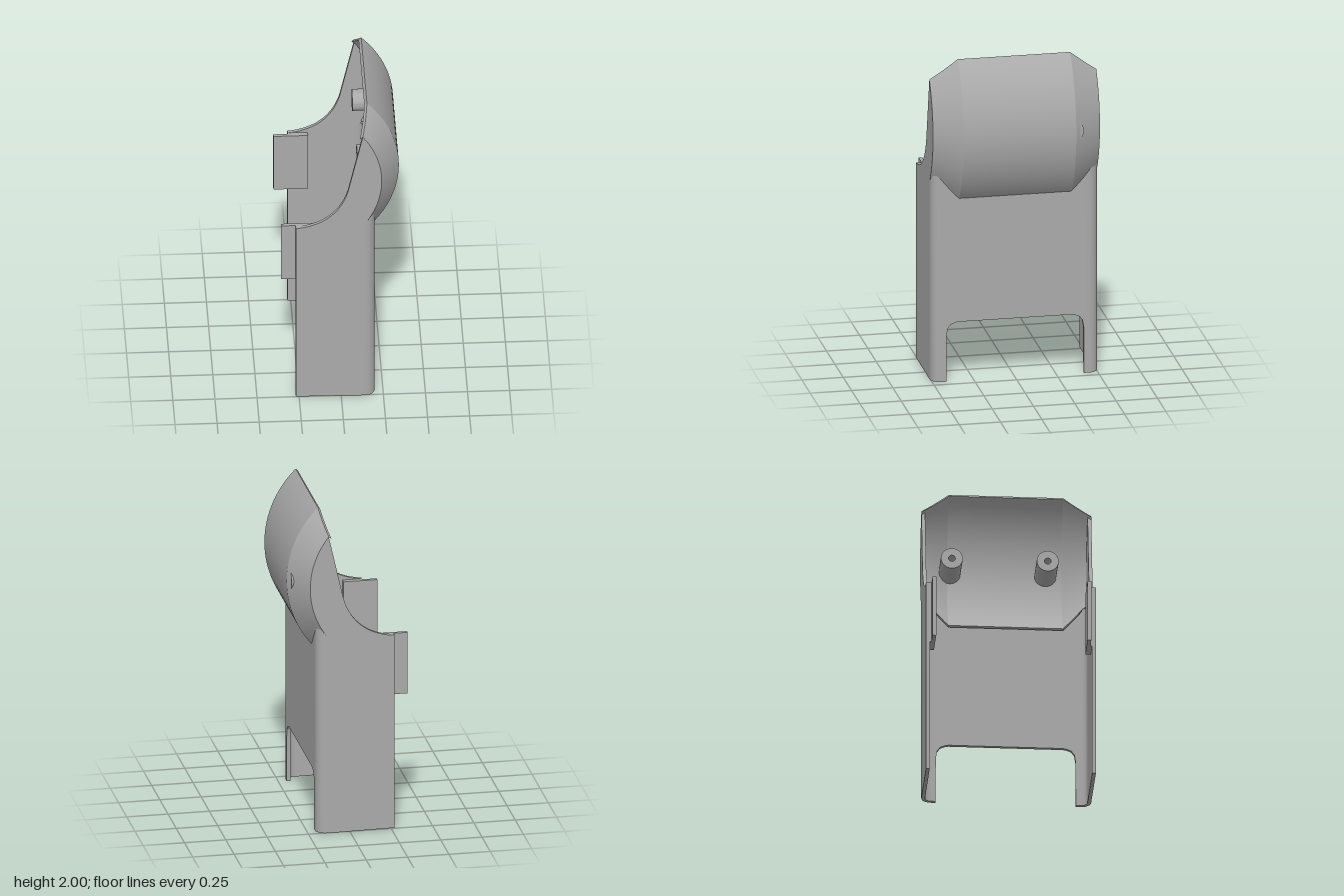
import * as THREE from 'three';
import { toCreasedNormals } from 'three/addons/utils/BufferGeometryUtils.js';

const T = 0.022;                 // wall thickness
const CX = -0.28, CY = 1.55;     // axis of the rounded hood
const HALF = 0.505;              // half width
const CORNER = 0.06;             // radius of the upright corners
const FRONT = 0.2;               // x of the flat panel

// Hood radius: full in the middle, tapering to the sides
const hoodRadius = z => 0.63 - 0.11 * Math.max(0, Math.abs(z) - 0.34) / 0.165;

// Columns across the width: outer x/z, inner x/z and height of the lower edge
function makeColumns() {
  const half = [[0, 0.37], [0.34, 0.37], [0.36, 0.367], [0.39, 0.355], [0.408, 0.33], [0.416, 0.28], [0.42, 0]]
    .map(([z, bottom]) => ({ x: FRONT, z, ix: FRONT - T, iz: z, bottom }));
  half[6].z = half[6].iz = 0.4165;
  for (let i = 0; i <= 6; i++) {
    const a = i / 6 * Math.PI / 2, r = CORNER - T;
    const x = FRONT - CORNER, z = HALF - CORNER;
    half.push({
      x: x + CORNER * Math.cos(a), z: z + CORNER * Math.sin(a),
      ix: x + r * Math.cos(a), iz: z + r * Math.sin(a), bottom: 0,
    });
  }
  const mirrored = half.slice(1).reverse().map(c => ({ ...c, z: -c.z, iz: -c.iz }));
  return [...mirrored, ...half].map(c => {
    const R = hoodRadius(c.z);
    const start = -Math.acos((c.x - CX) / R);
    const end = THREE.MathUtils.degToRad(38.3 + 7.3 * (R - 0.52) / 0.11);
    return { ...c, R, start, end, top: CY + R * Math.sin(start) };
  });
}

// Skin a row of closed cross-section loops
function skin(loops) {
  const n = loops[0].length, index = [];
  for (let u = 0; u < loops.length - 1; u++) {
    for (let k = 0; k < n; k++) {
      const a = u * n + k, b = u * n + (k + 1) % n;
      index.push(a, b, b + n, a, b + n, a + n);
    }
  }
  const g = new THREE.BufferGeometry();
  g.setAttribute('position', new THREE.Float32BufferAttribute(loops.flat(2), 3));
  g.setIndex(index);
  return toCreasedNormals(g, 0.42);
}

export function createModel() {
  const group = new THREE.Group();
  group.name = 'housing';
  const grey = new THREE.MeshStandardMaterial({ color: 0xaaaaaa });
  grey.name = 'grey plastic';
  const add = (name, geometry) => {
    const mesh = new THREE.Mesh(geometry, grey);
    mesh.name = name;
    group.add(mesh);
    return mesh;
  };
  const columns = makeColumns();

  // Flat panel with rounded upright corners and a cut-out between the legs
  add('frontPanel', skin(columns.map(c => [
    [c.x, c.bottom, c.z], [c.x, c.top, c.z], [c.ix, c.top, c.iz], [c.ix, c.bottom, c.iz],
  ])));

  // Curved hood with tapered ends
  const ROWS = 28;
  add('hood', skin(columns.map(c => {
    const arc = r => Array.from({ length: ROWS + 1 }, (_, i) => {
      const a = c.start + (c.end - c.start) * i / ROWS;
      return [CX + r * Math.cos(a), CY + r * Math.sin(a), c.z];
    });
    return [...arc(c.R), ...arc(c.R - T).reverse()];
  })));

  // Side walls, with a rounded upper lobe and a concave rear edge
  const edge = columns[columns.length - 1];
  const wall = new THREE.Shape();
  wall.moveTo(-0.27, 0.005);
  wall.lineTo(FRONT - CORNER, 0);
  wall.lineTo(edge.x, edge.top);
  wall.absarc(CX, CY, edge.R, edge.start, edge.end, false);
  wall.lineTo(0.04, 1.48);
  wall.bezierCurveTo(0.0, 1.34, -0.09, 1.24, -0.27, 1.222);
  wall.closePath();
  const wallGeometry = toCreasedNormals(
    new THREE.ExtrudeGeometry(wall, { depth: T, bevelEnabled: false, curveSegments: 24 }), 0.42);

  for (const [side, s] of [['left', 1], ['right', -1]]) {
    add(side + 'Wall', wallGeometry).position.z = s > 0 ? HALF - T : -HALF;

    // Clip tab on the inside of each wall, with its mounting pad
    add(side + 'ClipTab', new THREE.BoxGeometry(0.205, 0.385, 0.022)).position.set(-0.2525, 1.03, s * 0.461);
    add(side + 'ClipPad', new THREE.BoxGeometry(0.118, 0.385, 0.016)).position.set(-0.21, 1.03, s * 0.478);
  }

  // Hollow screw posts inside the hood
  const ring = new THREE.Shape().absarc(0, 0, 0.065, 0, Math.PI * 2, false);
  ring.holes.push(new THREE.Path().absarc(0, 0, 0.02, 0, Math.PI * 2, true));
  const post = new THREE.ExtrudeGeometry(ring, { depth: 0.225, bevelEnabled: false, curveSegments: 24 });
  post.rotateY(Math.PI / 2);
  const postGeometry = toCreasedNormals(post, 0.42);
  for (const z of [-0.325, 0.245]) {
    add('screwPost', postGeometry).position.set(0.105, 1.56, z);
  }
  return group;
}
